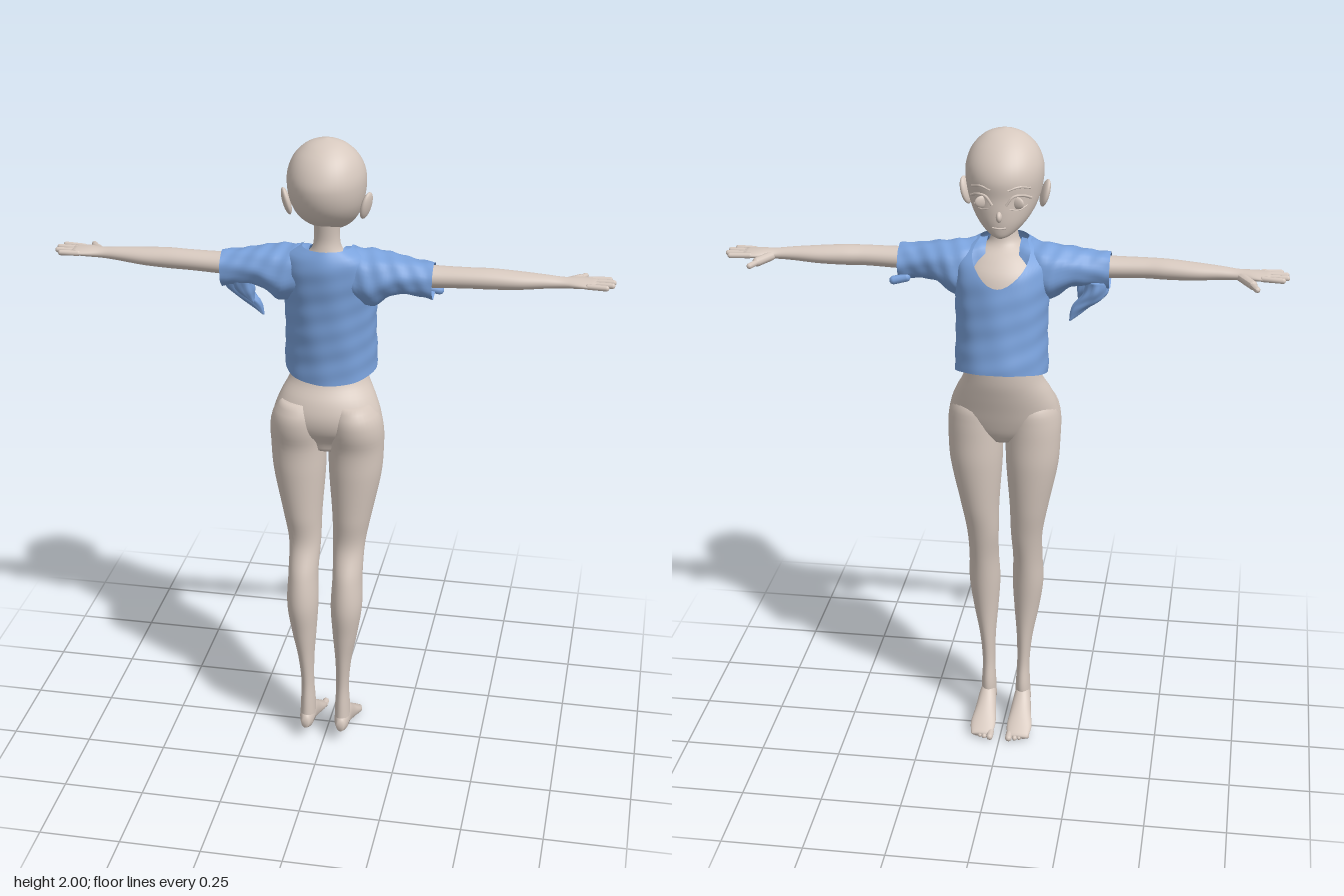
import * as THREE from 'three';

const skin = new THREE.MeshStandardMaterial({ color: 0xd6c8be });
skin.name = 'warm beige';
const cloth = new THREE.MeshStandardMaterial({ color: 0x7aa2dc, side: THREE.DoubleSide });
cloth.name = 'blue cloth';

// Smoothly interpolates rows of [t, aMin, aMax, bMin, bMax] at t
function sample(rows, t) {
  let i = 0;
  while (i < rows.length - 2 && t > rows[i + 1][0]) i++;
  const r = k => rows[Math.min(Math.max(k, 0), rows.length - 1)];
  const [p0, p1, p2, p3] = [r(i - 1), r(i), r(i + 1), r(i + 2)];
  const h = p2[0] - p1[0];
  const s = Math.min(Math.max((t - p1[0]) / h, 0), 1);
  return [1, 2, 3, 4].map(c => {
    const m1 = (p2[c] - p0[c]) / (p2[0] - p0[0]) * h;
    const m2 = (p3[c] - p1[c]) / (p3[0] - p1[0]) * h;
    const s2 = s * s, s3 = s2 * s;
    return (2 * s3 - 3 * s2 + 1) * p1[c] + (s3 - 2 * s2 + s) * m1 + (3 * s2 - 2 * s3) * p2[c] + (s3 - s2) * m2;
  });
}

// Ring surface: fn(angle, v) gives a point; the ends are closed when capped
function rings(nu, nv, fn, capped) {
  const pos = [], idx = [];
  for (let i = 0; i <= nv; i++)
    for (let j = 0; j < nu; j++) pos.push(...fn(j / nu * Math.PI * 2, i / nv));
  for (let i = 0; i < nv; i++)
    for (let j = 0; j < nu; j++) {
      const k = (j + 1) % nu, a = i * nu + j, b = a + nu, c = i * nu + k, d = c + nu;
      idx.push(a, b, c, c, b, d);
    }
  if (capped) for (const row of [0, nv]) {
    const centre = [0, 0, 0], n = pos.length / 3;
    for (let j = 0; j < nu; j++) for (let c = 0; c < 3; c++) centre[c] += pos[(row * nu + j) * 3 + c] / nu;
    pos.push(...centre);
    for (let j = 0; j < nu; j++) {
      const a = row * nu + j, b = row * nu + (j + 1) % nu;
      if (row) idx.push(n, b, a); else idx.push(n, a, b);
    }
  }
  const g = new THREE.BufferGeometry();
  g.setAttribute('position', new THREE.Float32BufferAttribute(pos, 3));
  g.setIndex(idx);
  g.computeVertexNormals();
  return g;
}

// Elliptic loft; rows hold (x, z) along y, (z, y) along x, or (y, x) along z
function loft(axis, rows, { capped = true, wrinkle = 0, nu = 32 } = {}) {
  const t0 = rows[0][0], t1 = rows[rows.length - 1][0];
  return rings(nu, rows.length * 5, (th, v) => {
    const t = t0 + (t1 - t0) * v, [a0, a1, b0, b1] = sample(rows, t);
    const w = 1 + wrinkle * Math.sin(th * 5 + t * 45) * Math.cos(th * 2 - t * 70);
    const a = (a0 + a1) / 2 + (a1 - a0) / 2 * Math.cos(th) * w;
    const b = (b0 + b1) / 2 + (b1 - b0) / 2 * Math.sin(th) * w;
    return axis === 'y' ? [a, t, b] : axis === 'x' ? [t, b, a] : [b, a, t];
  }, capped);
}

// Reflects a geometry in x and restores its outward winding
function mirror(g) {
  const m = g.clone().scale(-1, 1, 1), ix = m.index.array;
  for (let i = 0; i < ix.length; i += 3) [ix[i], ix[i + 1]] = [ix[i + 1], ix[i]];
  m.computeVertexNormals();
  return m;
}

// Capsule between two points
function capsule(a, b, r) {
  const A = new THREE.Vector3(...a), B = new THREE.Vector3(...b), d = B.clone().sub(A);
  const g = new THREE.CapsuleGeometry(r, d.length(), 5, 10);
  const q = new THREE.Quaternion().setFromUnitVectors(new THREE.Vector3(0, 1, 0), d.normalize());
  return g.applyQuaternion(q).translate(...A.add(B).multiplyScalar(0.5).toArray());
}

const ball = (x, y, z, rx, ry, rz) => new THREE.SphereGeometry(1, 20, 14).scale(rx, ry, rz).translate(x, y, z);

const headRows = [
  [1.702, -0.012, 0.012, -0.072, -0.045], [1.708, -0.028, 0.028, -0.078, -0.02], [1.725, -0.052, 0.052, -0.083, 0.03],
  [1.75, -0.076, 0.076, -0.087, 0.085], [1.78, -0.094, 0.094, -0.088, 0.128], [1.82, -0.108, 0.108, -0.087, 0.155],
  [1.87, -0.115, 0.115, -0.09, 0.166], [1.91, -0.111, 0.111, -0.077, 0.157], [1.95, -0.093, 0.093, -0.047, 0.133],
  [1.98, -0.063, 0.063, -0.012, 0.1], [1.994, -0.035, 0.035, 0.015, 0.073], [2, -0.006, 0.006, 0.04, 0.05],
];
// Point on the face, which looks towards -z
function onFace(x, y, out = 0) {
  const [, a1, b0, b1] = sample(headRows, y);
  return new THREE.Vector3(x, y, (b0 + b1) / 2 - (b1 - b0) / 2 * Math.sqrt(1 - (x / a1) ** 2) - out);
}
const faceLine = (pts, r) => new THREE.TubeGeometry(
  new THREE.CatmullRomCurve3(pts.map(p => onFace(...p))), 16, r, 6);

const torsoRows = [
  [1.03, -0.06, 0.06, -0.02, 0.08], [1.06, -0.13, 0.13, -0.04, 0.09], [1.1, -0.168, 0.168, -0.055, 0.118],
  [1.15, -0.164, 0.164, -0.07, 0.128], [1.2, -0.145, 0.145, -0.085, 0.115], [1.25, -0.12, 0.12, -0.097, 0.085],
  [1.32, -0.106, 0.106, -0.102, 0.072], [1.4, -0.105, 0.105, -0.1, 0.075], [1.5, -0.115, 0.115, -0.105, 0.085],
  [1.58, -0.12, 0.12, -0.085, 0.092], [1.63, -0.09, 0.09, -0.045, 0.088], [1.66, -0.05, 0.05, -0.01, 0.08],
  [1.7, -0.038, 0.038, 0, 0.074], [1.78, -0.04, 0.04, 0, 0.085],
];
const legRows = [
  [0.06, 0.032, 0.082, 0.035, 0.112], [0.12, 0.033, 0.08, 0.03, 0.108], [0.2, 0.037, 0.077, 0.04, 0.105],
  [0.3, 0.035, 0.086, 0.036, 0.118], [0.4, 0.027, 0.105, 0.03, 0.133], [0.5, 0.021, 0.119, 0.018, 0.145],
  [0.6, 0.024, 0.117, 0.003, 0.13], [0.7, 0.02, 0.12, -0.017, 0.094], [0.8, 0.017, 0.138, -0.037, 0.102],
  [0.95, 0.006, 0.168, -0.054, 0.112], [1.04, 0.004, 0.174, -0.055, 0.116], [1.1, 0.004, 0.174, -0.055, 0.132],
  [1.15, 0.01, 0.163, -0.05, 0.134], [1.19, 0.025, 0.135, -0.02, 0.115],
];
const footRows = [
  [-0.092, 0.006, 0.02, 0.026, 0.092], [-0.05, 0.008, 0.046, 0.019, 0.1], [0, 0.018, 0.082, 0.024, 0.092],
  [0.05, 0.03, 0.12, 0.03, 0.085], [0.09, 0.031, 0.11, 0.034, 0.08], [0.118, 0.045, 0.08, 0.045, 0.07],
];
const armRows = [
  [0.08, -0.03, 0.08, 1.55, 1.64], [0.2, -0.02, 0.075, 1.56, 1.635], [0.32, -0.012, 0.067, 1.566, 1.63],
  [0.42, -0.01, 0.063, 1.57, 1.63], [0.48, -0.015, 0.06, 1.57, 1.63], [0.56, -0.018, 0.054, 1.573, 1.625],
  [0.64, -0.013, 0.04, 1.58, 1.619], [0.69, -0.014, 0.033, 1.583, 1.614], [0.73, -0.03, 0.04, 1.585, 1.613],
  [0.765, -0.036, 0.045, 1.589, 1.61], [0.782, -0.032, 0.041, 1.593, 1.608],
];
const shirtRows = [
  [1.24, -0.14, 0.14, -0.165, 0.09], [1.32, -0.14, 0.14, -0.165, 0.092], [1.4, -0.137, 0.137, -0.152, 0.1],
  [1.5, -0.14, 0.14, -0.14, 0.108], [1.58, -0.145, 0.145, -0.125, 0.118], [1.62, -0.142, 0.142, -0.1, 0.12],
  [1.65, -0.12, 0.12, -0.06, 0.115], [1.68, -0.065, 0.065, -0.02, 0.1],
];
const sleeveRows = [
  [0.05, -0.03, 0.09, 1.54, 1.672], [0.13, -0.065, 0.1, 1.495, 1.665], [0.2, -0.045, 0.09, 1.535, 1.655],
  [0.26, -0.026, 0.082, 1.538, 1.645], [0.315, -0.022, 0.08, 1.53, 1.64],
];

export function createModel() {
  const model = new THREE.Group();
  model.name = 'mannequin';
  const add = (name, geo, mat = skin) => {
    const m = new THREE.Mesh(geo, mat);
    m.name = name;
    model.add(m);
  };
  const pair = (name, geo, mat) => {
    add(name + 'Left', geo, mat);
    add(name + 'Right', mirror(geo), mat);
  };

  // Head and face
  add('head', loft('y', headRows, { nu: 40 }));
  add('nose', ball(0, 1.772, -0.088, 0.009, 0.016, 0.016));
  add('mouth', faceLine([[-0.02, 1.738], [0, 1.736, 0.001], [0.02, 1.738]], 0.003));
  pair('ear', ball(0, 0, 0, 0.012, 0.042, 0.026).rotateZ(-0.25).rotateY(-0.35).translate(0.117, 1.808, 0.05));
  const eye = onFace(0.05, 1.812);
  pair('eye', ball(0, 0, 0, 0.023, 0.018, 0.007).rotateY(0.4).translate(eye.x, eye.y, eye.z));
  pair('upperLid', faceLine([[0.02, 1.806, 0.002], [0.04, 1.832, 0.004], [0.065, 1.834, 0.005], [0.088, 1.82, 0.004]], 0.004));
  pair('lowerLid', faceLine([[0.03, 1.794, 0.001], [0.055, 1.79, 0.002], [0.078, 1.8, 0.001]], 0.002));
  pair('brow', faceLine([[0.025, 1.85], [0.055, 1.859], [0.085, 1.851]], 0.003));

  // Plain body with neck
  add('torso', loft('y', torsoRows, { nu: 40 }));
  pair('leg', loft('y', legRows));
  pair('foot', loft('z', footRows));
  for (let i = 0; i < 5; i++) {
    const r = i ? 0.0085 - i * 0.0004 : 0.011, x = [0.031, 0.05, 0.064, 0.077, 0.089][i];
    pair('toe' + (i + 1), capsule([x, r + 0.003, -0.075], [x, r, -0.1 + i * 0.006], r));
  }

  // Arms, fingers and thumbs
  pair('arm', loft('x', armRows));
  [[0.036, 0.04, 0.812], [0.014, 0.017, 0.828], [-0.008, -0.01, 0.83], [-0.027, -0.034, 0.818]].forEach(([z0, z1, tip], i) =>
    pair('finger' + (i + 1), capsule([0.76, 1.6, z0], [tip, 1.6, z1], 0.0085)));
  pair('thumbBase', capsule([0.7, 1.595, -0.008], [0.732, 1.59, -0.052], 0.014));
  pair('thumb', capsule([0.727, 1.591, -0.048], [0.746, 1.588, -0.086], 0.009));

  // Loose shirt with a sloping hem and a scooped V neck
  add('shirtBody', rings(64, 40, (th, v) => {
    const front = Math.max(0, -Math.sin(th));
    const hem = 1.28 - 0.03 * Math.sin(th), neck = 1.676 - 0.11 * front ** 4;
    const y = hem + (neck - hem) * v, [x0, x1, z0, z1] = sample(shirtRows, y);
    const w = 1 + 0.015 * Math.sin(th * 6 + y * 40) * Math.cos(th * 3 - y * 55);
    return [(x1 - x0) / 2 * Math.cos(th) * w, y, (z0 + z1) / 2 + (z1 - z0) / 2 * Math.sin(th) * w];
  }, false), cloth);
  pair('sleeve', loft('x', sleeveRows, { capped: false, wrinkle: 0.05, nu: 40 }), cloth);

  // Knotted cloth hanging from one sleeve, and a small fold on the other
  add('sleeveTailLong', loft('y', [
    [1.432, -0.203, -0.198, 0, 0.006], [1.47, -0.25, -0.203, -0.008, 0.02],
    [1.515, -0.305, -0.235, -0.02, 0.04], [1.56, -0.312, -0.25, -0.022, 0.05],
  ], { wrinkle: 0.1 }), cloth);
  add('sleeveTailShort', loft('y', [
    [1.485, -0.226, -0.22, 0.04, 0.046], [1.52, -0.27, -0.215, 0.025, 0.06], [1.57, -0.29, -0.22, 0.02, 0.07],
  ], { wrinkle: 0.1 }), cloth);
  add('sleeveFold', capsule([0.29, 1.548, -0.01], [0.327, 1.54, -0.016], 0.013), cloth);
  return model;
}
